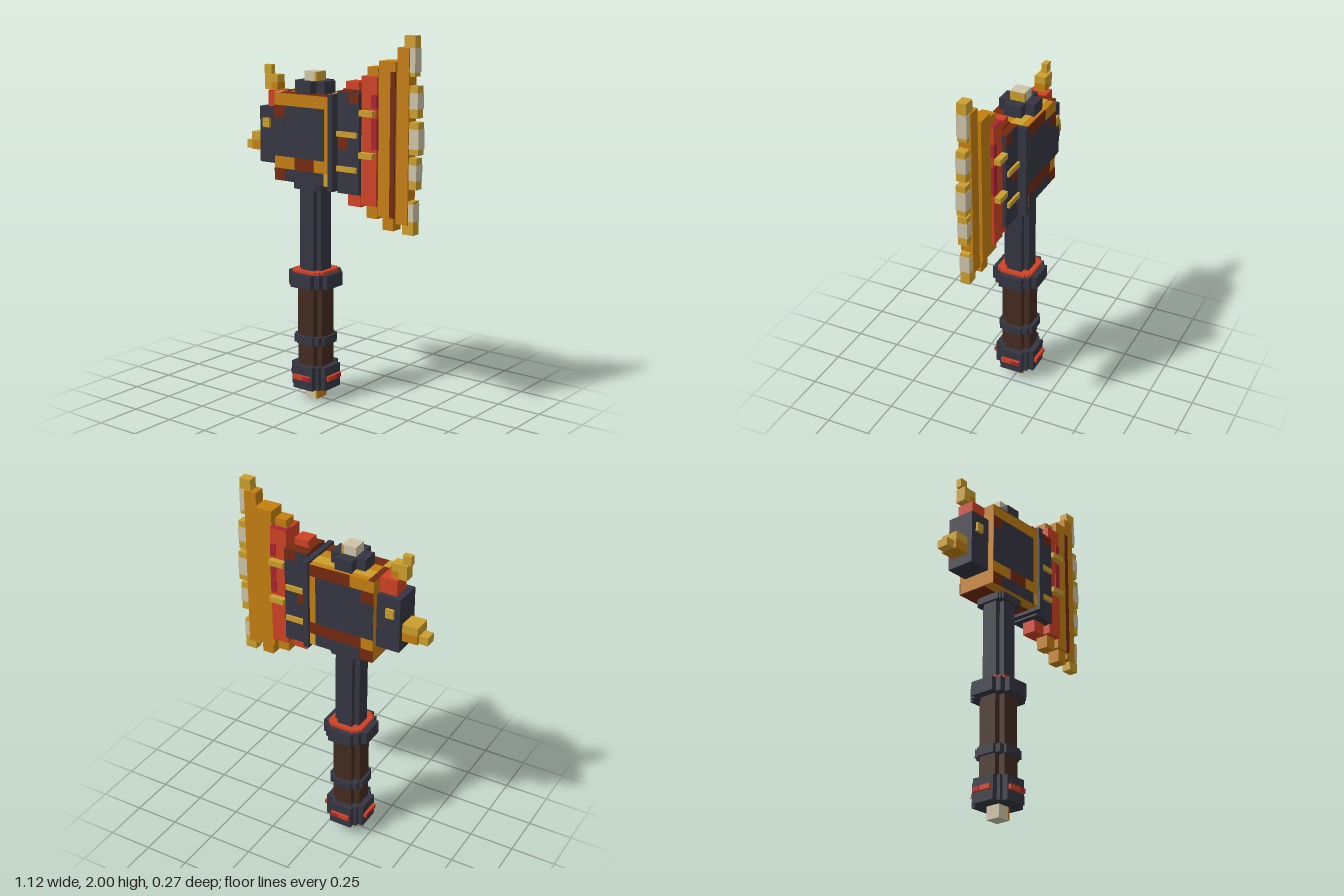
import * as THREE from 'three';

export function createModel() {
  const root = new THREE.Group();
  root.name = 'warAxe';
  const mat = (name, color) => {
    const m = new THREE.MeshStandardMaterial({ color });
    m.name = name;
    return m;
  };
  const iron = mat('dark iron', 0x353542);
  const leather = mat('brown leather', 0x432b20);
  const rust = mat('rust brown', 0x74290f);
  const gold = mat('deep gold', 0xc47e10);
  const brass = mat('light brass', 0xcb9f2e);
  const bone = mat('pale bone', 0xcdc3a6);
  const red = mat('bright red', 0xcf4224);
  const crimson = mat('crimson', 0xaa2432);

  // Box given by its limits in x, y and z
  const span = (name, m, x0, x1, y0, y1, z0, z1) => {
    const mesh = new THREE.Mesh(new THREE.BoxGeometry(x1 - x0, y1 - y0, z1 - z0), m);
    mesh.position.set((x0 + x1) / 2, (y0 + y1) / 2, (z0 + z1) / 2);
    mesh.name = name;
    root.add(mesh);
    return mesh;
  };
  // Box symmetric in z
  const box = (name, m, x0, x1, y0, y1, hz) => span(name, m, x0, x1, y0, y1, -hz, hz);

  // Notched-corner section around the handle axis: two crossed boxes and an optional square core
  const AX = -0.113;
  const notched = (name, m, y0, y1, wide, narrow, core = 0) => {
    box(name, m, AX - wide, AX + wide, y0, y1, narrow);
    box(name, m, AX - narrow, AX + narrow, y0, y1, wide);
    if (core) box(name, m, AX - core, AX + core, y0, y1, core);
  };

  // Handle
  box('pommelTip', bone, AX - 0.04, AX + 0.04, 0, 0.07, 0.04);
  span('pommelTipEdge', gold, AX + 0.028, AX + 0.041, 0.005, 0.07, -0.041, 0.041);
  notched('pommel', iron, 0.07, 0.2, 0.115, 0.065, 0.085);
  notched('pommelGem', red, 0.125, 0.15, 0.131, 0.055);
  for (const s of [-1, 1]) {
    span('pommelGemShade', crimson, AX + 0.01, AX + 0.054, 0.126, 0.149, s * 0.131 - 0.002, s * 0.131 + 0.002);
    span('pommelGemShade', crimson, AX + s * 0.131 - 0.002, AX + s * 0.131 + 0.002, 0.126, 0.149, -0.054, -0.01);
  }
  notched('grip', leather, 0.2, 0.64, 0.083, 0.05);
  notched('gripBand', iron, 0.32, 0.365, 0.1, 0.053, 0.083);
  notched('guard', iron, 0.64, 0.715, 0.131, 0.068, 0.1);
  notched('guardTrim', red, 0.715, 0.73, 0.1, 0.07, 0.088);
  notched('shaft', iron, 0.73, 1.17, 0.072, 0.043);
  notched('headSocket', iron, 1.17, 1.212, 0.09, 0.07, 0.08);

  // Head block with painted plates
  const HZ = 0.115;
  box('headBlock', gold, -0.295, 0.07, 1.21, 1.675, HZ);
  const paint = (side, m, x0, x1, y0, y1) =>
    span('headPlate', m, x0, x1, y0, y1, side * HZ - 0.003, side * HZ + 0.003);
  for (const s of [-1, 1]) {
    paint(s, iron, -0.225, 0.035, 1.34, 1.61);
    paint(s, iron, -0.295, -0.225, 1.34, 1.545);
    paint(s, rust, -0.295, -0.225, 1.545, 1.61);
    paint(s, iron, -0.225, 0.035, 1.21, 1.275);
    paint(s, rust, -0.295, -0.225, 1.21, 1.275);
    paint(s, brass, 0.035, 0.07, 1.21, 1.275);
  }
  paint(1, rust, -0.16, -0.035, 1.275, 1.34);
  paint(-1, rust, -0.225, 0.07, 1.275, 1.34);
  paint(-1, rust, -0.16, 0.07, 1.61, 1.675);
  span('headTopPlate', brass, -0.265, 0.07, 1.673, 1.678, -0.085, -0.02);
  span('headTopPlate', rust, -0.26, 0.07, 1.673, 1.678, 0.05, HZ);
  span('headTopPlate', rust, -0.295, -0.265, 1.673, 1.678, -HZ, 0.045);
  span('headTopPlate', brass, -0.295, -0.26, 1.673, 1.678, 0.045, HZ);
  span('headBottomPlate', rust, -0.295, 0.07, 1.207, 1.212, -0.115, 0.05);

  // Cap on top of the head
  notched('headCap', iron, 1.675, 1.74, 0.098, 0.048);
  box('capGem', bone, AX - 0.04, AX + 0.04, 1.74, 1.79, 0.04);
  span('capGemEdge', brass, AX + 0.028, AX + 0.041, 1.74, 1.788, -0.041, 0.041);

  // Rear hammer block and spikes
  box('rearBlock', iron, -0.425, -0.295, 1.29, 1.59, 0.08);
  box('rearStud', brass, -0.395, -0.35, 1.48, 1.53, 0.095);
  box('rearRedBlock', red, -0.39, -0.295, 1.59, 1.675, 0.05);
  box('horn', brass, -0.43, -0.345, 1.675, 1.755, 0.03);
  span('hornShade', gold, -0.385, -0.344, 1.68, 1.715, -0.031, 0.031);
  box('hornTip', brass, -0.445, -0.398, 1.755, 1.805, 0.016);
  box('rearSpike', gold, -0.51, -0.425, 1.345, 1.44, 0.05);
  box('rearSpikeTop', brass, -0.511, -0.425, 1.395, 1.441, 0.051);
  box('rearSpikeTip', brass, -0.56, -0.51, 1.345, 1.39, 0.033);

  // Flange and blade mount
  box('flange', iron, 0.07, 0.1, 1.19, 1.69, 0.132);
  box('bladeMount', iron, 0.1, 0.235, 1.18, 1.705, 0.085);
  span('mountTopPlate', rust, 0.1, 0.235, 1.702, 1.708, -0.085, 0.035);
  span('mountTopPlate', rust, 0.1, 0.185, 1.702, 1.708, 0.035, 0.085);
  box('mountCornerPatch', rust, 0.17, 0.234, 1.65, 1.704, 0.087);
  box('mountPatch', rust, 0.1, 0.16, 1.41, 1.475, 0.087);
  for (const y of [1.475, 1.295]) box('mountBar', brass, 0.1, 0.225, y, y + 0.028, 0.098);
  box('mountTopBlock', red, 0.12, 0.2, 1.705, 1.755, 0.04);
  box('mountTopBlockShade', rust, 0.1, 0.205, 1.69, 1.715, 0.042);
  box('mountBottomBlock', red, 0.135, 0.215, 1.11, 1.18, 0.04);

  // Red blade root
  box('bladeRoot', red, 0.235, 0.33, 1.13, 1.79, 0.065);
  for (const [y0, y1] of [[1.42, 1.58], [1.63, 1.7]])
    box('bladeRootShade', crimson, 0.297, 0.331, y0, y1, 0.067);
  span('bladeRootTopShade', crimson, 0.235, 0.33, 1.788, 1.792, -0.065, -0.01);
  for (const y of [1.59, 1.375]) box('rootBar', brass, 0.24, 0.325, y, y + 0.03, 0.098);
  box('rootTopCap', gold, 0.25, 0.315, 1.79, 1.835, 0.036);
  box('rootBottomCap', gold, 0.25, 0.315, 1.06, 1.13, 0.036);

  // Golden blade, stepping thinner towards the edge
  box('innerBlade', gold, 0.33, 0.43, 1.08, 1.87, 0.05);
  box('innerBladeFoot', gold, 0.35, 0.415, 1.01, 1.08, 0.035);
  span('innerBladeStripe', rust, 0.402, 0.431, 1.08, 1.82, 0.046, 0.052);
  box('outerBlade', gold, 0.43, 0.5, 1.05, 1.94, 0.033);

  // Cutting edge teeth: y range, outer x, pale band range
  const teeth = [
    [1.8, 2.0, 0.53, 1.82, 1.94],
    [1.595, 1.755, 0.548, 1.64, 1.72],
    [1.41, 1.575, 0.555, 1.44, 1.54],
    [1.235, 1.395, 0.545, 1.28, 1.36],
    [1.0, 1.175, 0.53, 1.07, 1.16],
  ];
  for (const [y0, y1, x1, b0, b1] of teeth) {
    box('edgeTooth', brass, 0.465, x1, y0, y1, 0.025);
    box('edgeToothBand', bone, 0.495, x1 + 0.002, b0, b1, 0.027);
  }
  return root;
}
